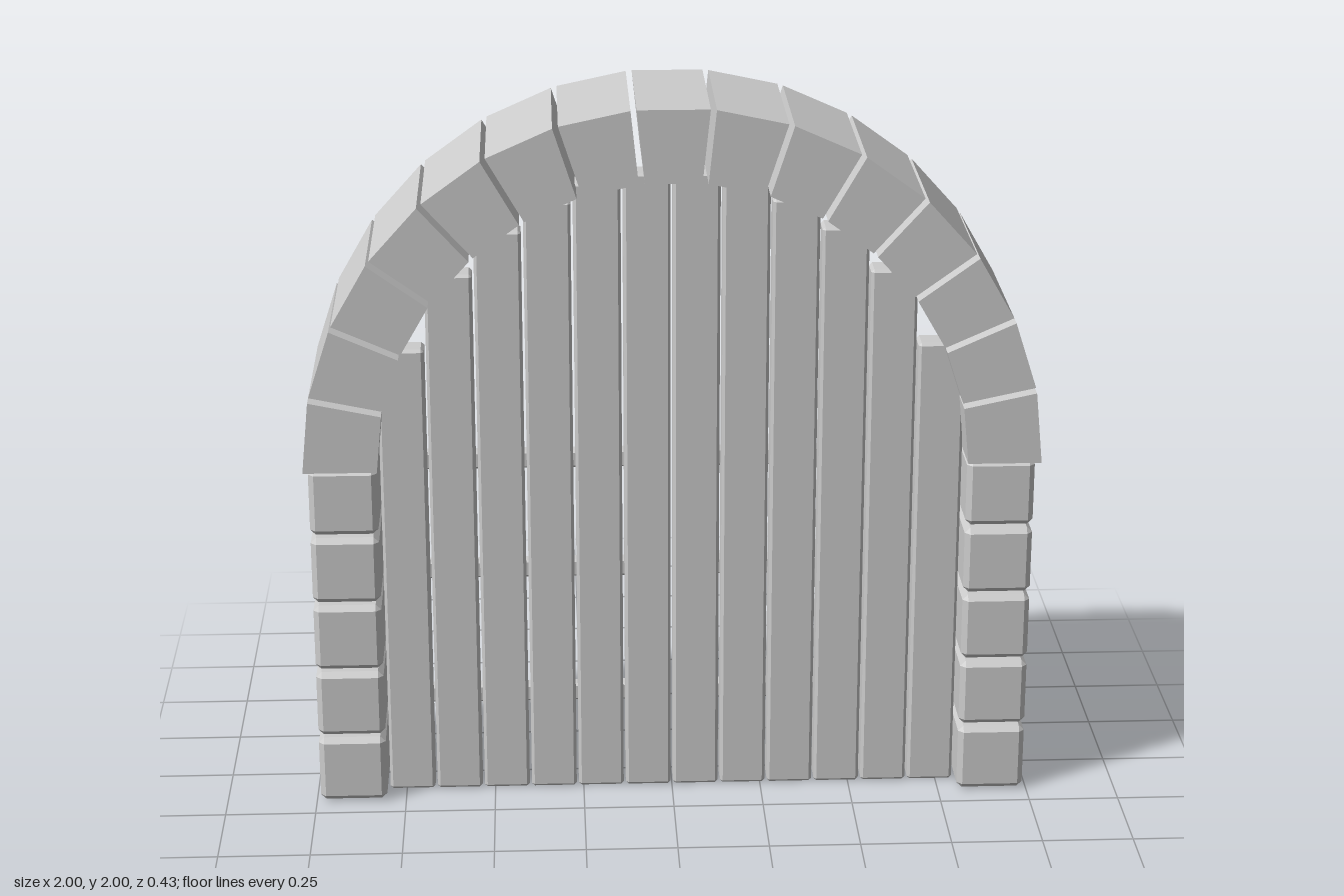
import * as THREE from 'three';
import { ConvexGeometry } from 'three/addons/geometries/ConvexGeometry.js';

const grey = new THREE.MeshStandardMaterial({ color: 0xcccccc, flatShading: true });
grey.name = 'plain grey';

// Box with every edge cut at 45 degrees
function chamferBox(w, h, d, c) {
  const half = [w / 2, h / 2, d / 2];
  const points = [];
  for (const sx of [-1, 1]) for (const sy of [-1, 1]) for (const sz of [-1, 1]) {
    for (let full = 0; full < 3; full++) {
      const p = half.map((v, i) => (i === full ? v : v - c));
      points.push(new THREE.Vector3(p[0] * sx, p[1] * sy, p[2] * sz));
    }
  }
  return new ConvexGeometry(points);
}

function add(parent, name, geometry, x = 0, y = 0, z = 0) {
  const mesh = new THREE.Mesh(geometry, grey);
  mesh.name = name;
  mesh.position.set(x, y, z);
  parent.add(mesh);
  return mesh;
}

function group(parent, name) {
  const g = new THREE.Group();
  g.name = name;
  parent.add(g);
  return g;
}

// Wedge-shaped arch stone with an even gap to its neighbours
function archStone(i, count) {
  const step = Math.PI / count, gap = 0.008;
  const corner = (r, angle, inset) =>
    new THREE.Vector2(r * Math.cos(angle) - inset * Math.sin(angle), r * Math.sin(angle) + inset * Math.cos(angle));
  const a = i * step, b = a + step;
  const ga = i === 0 ? 0 : gap, gb = i === count - 1 ? 0 : -gap;
  const shape = new THREE.Shape([corner(0.8, a, ga), corner(1, a, ga), corner(1, b, gb), corner(0.8, b, gb)]);
  return new THREE.ExtrudeGeometry(shape, { depth: 0.434, bevelEnabled: false });
}

export function createModel() {
  const model = new THREE.Group();
  model.name = 'archedDoor';

  // Arch of fifteen stones
  const arch = group(model, 'arch');
  for (let i = 0; i < 15; i++) add(arch, 'archStone', archStone(i, 15), 0, 1, -0.217);

  const block = chamferBox(0.186, 0.19, 0.396, 0.015);
  const strap = chamferBox(0.77, 0.05, 0.04, 0.006);
  const rivet = new THREE.CylinderGeometry(0.013, 0.013, 0.014, 8).rotateX(Math.PI / 2);
  const grip = chamferBox(0.028, 0.12, 0.03, 0.004);
  const stub = new THREE.BoxGeometry(0.022, 0.022, 0.05);
  const plankTops = [1.795, 1.77, 1.72, 1.64, 1.52, 1.31];

  for (const side of [1, -1]) {
    const prefix = side > 0 ? 'left' : 'right';

    // Pillar of five blocks
    const pillar = group(model, prefix + 'Pillar');
    for (let i = 0; i < 5; i++) add(pillar, 'pillarBlock', block, side * 0.896, 0.1 + i * 0.2, -0.012);

    // Door leaf: planks stepping down towards the hinge
    const door = group(model, prefix + 'Door');
    plankTops.forEach((top, i) => {
      add(door, 'plank', chamferBox(0.127, top, 0.08, 0.008), side * (i + 0.5) * 0.8 / 6, top / 2, 0.07);
    });

    // Riveted straps on the back
    for (const y of [0.255, 0.635, 0.96]) {
      add(door, 'strap', strap, side * 0.415, y, 0.01);
      for (const x of [0.08, 0.39, 0.68]) add(door, 'rivet', rivet, side * x, y, -0.014);
    }

    // Pull handle on the back
    const handle = group(door, 'handle');
    add(handle, 'grip', grip, side * 0.056, 0.425, -0.03);
    for (const y of [0.38, 0.47]) add(handle, 'handleStub', stub, side * 0.056, y, 0.008);
  }
  return model;
}
